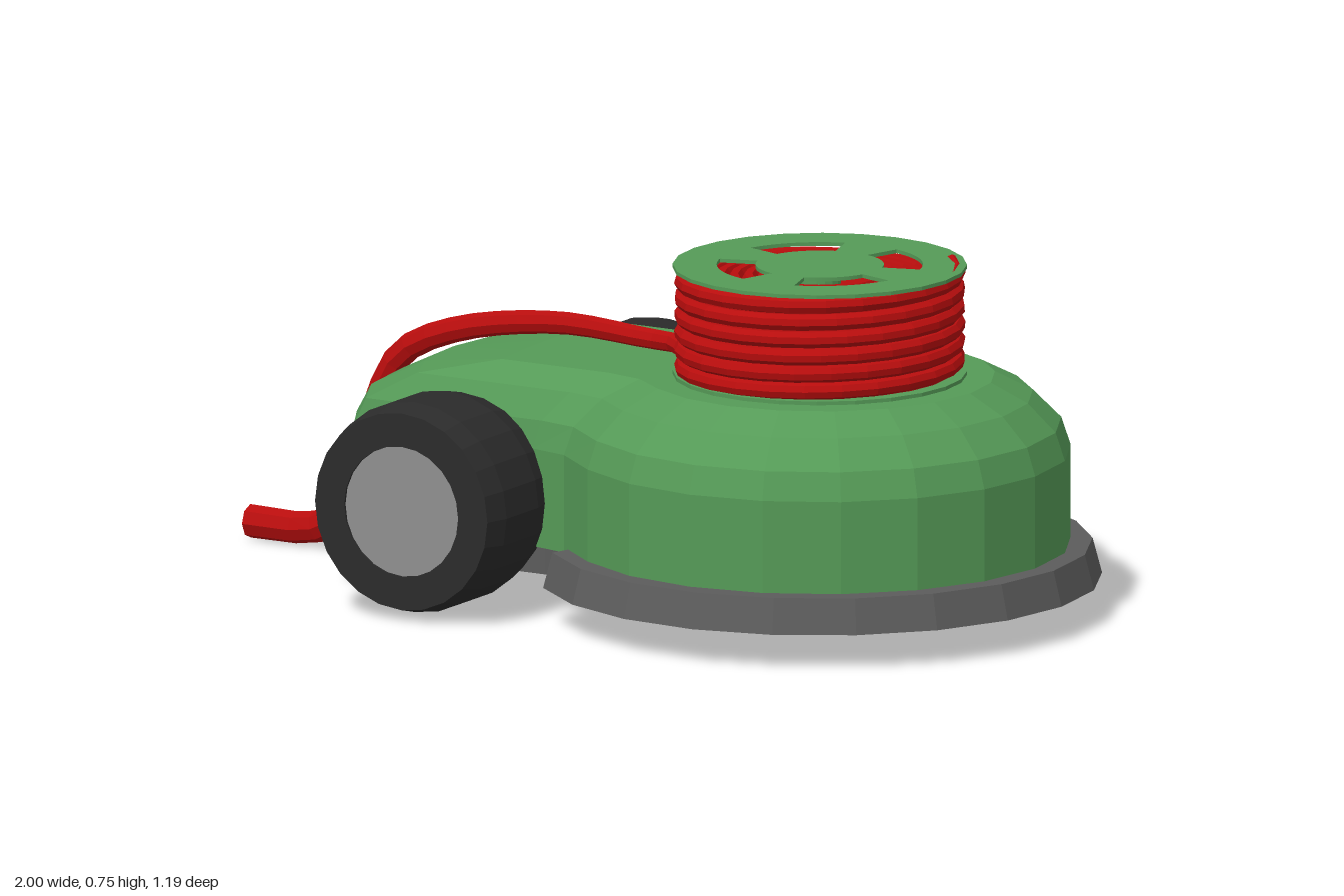
import * as THREE from 'three';

const mat = (color) => new THREE.MeshStandardMaterial({ color, flatShading: true });
const GREEN = mat(0x559a57), RED = mat(0xb80d0d), GREY = mat(0x5c5c5c);
const BLACK = mat(0x2b2b2b), HUB = mat(0x8f8f8f);
const CX = 0.4; // centre of the round front and of the spool

function mesh(name, geometry, material) {
  const m = new THREE.Mesh(geometry, material);
  m.name = name;
  return m;
}

// Mirrors one half (z >= 0, front tip to rear tip) into a closed outline
function mirrored(half) {
  const other = half.slice(1, -1).reverse().map((p) => new THREE.Vector2(p.x, -p.y));
  return [...half, ...other];
}

// Round nose of radius r, swept from the tip to the given angle in degrees
function arc(r, endDeg, steps) {
  return Array.from({ length: steps + 1 }, (_, i) => {
    const a = THREE.MathUtils.degToRad((endDeg * i) / steps);
    return new THREE.Vector2(CX + r * Math.cos(a), r * Math.sin(a));
  });
}

// Keyhole outline of the housing: nose radius r, tail half width w, corner x, rear x
function bodyOutline(r, w, corner, rear) {
  const half = arc(r, 144, 8);
  half[8].y += 0.02; // eases the nose into the tail
  half.push(
    new THREE.Vector2(half[8].x - 0.09, w),
    new THREE.Vector2(corner, w),
    new THREE.Vector2(rear + (corner - rear) * 0.3, w * 0.58),
    new THREE.Vector2(rear, 0));
  return mirrored(half);
}

// Outline of the skirt, notched at the wheels; grow widens it
function skirtOutline(grow) {
  const half = arc(0.57 + grow, 137, 8);
  [[0.0, 0.32], [-0.1, 0.29], [-0.54, 0.29], [-0.59 - grow / 2, 0.315 + grow / 2],
    [-0.65 - grow, 0.19], [-0.685 - grow, 0]].forEach(([x, z]) => half.push(new THREE.Vector2(x, z)));
  return mirrored(half);
}

// Walls between stacked outlines, closed on top
function loft(levels) {
  const pos = [], idx = [], n = levels[0].pts.length;
  levels.forEach(({ y, pts }) => pts.forEach((p) => pos.push(p.x, y, p.y)));
  for (let l = 0; l < levels.length - 1; l++) {
    for (let i = 0; i < n; i++) {
      const a = l * n + i, b = l * n + ((i + 1) % n);
      idx.push(a, a + n, b, b, a + n, b + n);
    }
  }
  const top = (levels.length - 1) * n;
  THREE.ShapeUtils.triangulateShape(levels[levels.length - 1].pts, [])
    .forEach(([a, b, c]) => idx.push(top + a, top + c, top + b));
  const g = new THREE.BufferGeometry();
  g.setAttribute('position', new THREE.Float32BufferAttribute(pos, 3));
  g.setIndex(idx);
  g.computeVertexNormals();
  return g;
}

const lathe = (pts, sides) =>
  new THREE.LatheGeometry(pts.map(([r, y]) => new THREE.Vector2(r, y)), sides);

// Tyre and hub disc facing +z
function createWheel(name) {
  const g = new THREE.Group();
  g.name = name;
  const tyre = lathe([[0, 0.3], [0.212, 0.3], [0.226, 0.36], [0.226, 0.49], [0.212, 0.545],
    [0.14, 0.545], [0.14, 0.535]], 24).rotateX(Math.PI / 2);
  const hub = new THREE.CylinderGeometry(0.14, 0.14, 0.03, 24).rotateX(Math.PI / 2).translate(0, 0, 0.525);
  g.add(mesh('tyre', tyre, BLACK), mesh('wheelHub', hub, HUB));
  return g;
}

// Loose cable, thinning towards the spool
function createCable() {
  const path = new THREE.CatmullRomCurve3([
    [-1, 0.037, 0], [-0.84, 0.042, 0], [-0.765, 0.085, 0], [-0.725, 0.17, 0], [-0.685, 0.34, 0],
    [-0.63, 0.44, 0], [-0.5, 0.505, -0.005], [-0.26, 0.543, -0.025], [-0.04, 0.533, -0.03],
    [0.05, 0.537, 0], [0.115, 0.535, 0.07],
  ].map((p) => new THREE.Vector3(...p)), false, 'centripetal');
  const segs = 26, sides = 8;
  const g = new THREE.TubeGeometry(path, segs, 0.036, sides, false);
  const p = g.attributes.position, v = new THREE.Vector3();
  for (let i = 0; i <= segs; i++) {
    const c = path.getPointAt(i / segs);
    for (let j = 0; j <= sides; j++) {
      const k = i * (sides + 1) + j;
      v.fromBufferAttribute(p, k).sub(c).multiplyScalar(1 - 0.45 * (i / segs)).add(c);
      p.setXYZ(k, v.x, v.y, v.z);
    }
  }
  g.computeVertexNormals();
  const cable = new THREE.Group();
  cable.name = 'cable';
  const end = new THREE.CircleGeometry(0.036, 8).rotateY(-Math.PI / 2).translate(-1, 0.037, 0);
  cable.add(mesh('looseCable', g, RED), mesh('cableEnd', end, RED));
  return cable;
}

// Helix climbing round the spool
class Coil extends THREE.Curve {
  getPoint(t, target = new THREE.Vector3()) {
    const a = 0.2 + t * Math.PI * 2 * 5.6;
    return target.set(-0.289 * Math.cos(a), 0.526 + 0.207 * t, 0.289 * Math.sin(a));
  }
}

function createSpool() {
  const g = new THREE.Group();
  g.name = 'spool';
  g.position.x = CX;

  // Top flange with four curved windows
  const flange = new THREE.Shape().absarc(0, 0, 0.31, 0, Math.PI * 2);
  for (let i = 0; i < 4; i++) {
    const mid = Math.PI / 4 + (i * Math.PI) / 2, h = 0.49;
    const hole = new THREE.Path();
    hole.absarc(0, 0, 0.217, mid - h, mid + h, false);
    hole.absarc(0, 0, 0.135, mid + h, mid - h, true);
    hole.closePath();
    flange.holes.push(hole);
  }
  const top = new THREE.ExtrudeGeometry(flange, { depth: 0.008, bevelEnabled: false, curveSegments: 12 })
    .rotateX(-Math.PI / 2).translate(0, 0.74, 0);
  g.add(mesh('topFlange', top, GREEN));
  g.add(mesh('bottomFlange', new THREE.CylinderGeometry(0.31, 0.31, 0.012, 24).translate(0, 0.513, 0), GREEN));
  g.add(mesh('spoolCore', new THREE.CylinderGeometry(0.045, 0.045, 0.23, 16).translate(0, 0.627, 0), GREEN));

  // Outer winding and the inner layers seen through the windows
  g.add(mesh('woundCable', new THREE.TubeGeometry(new Coil(), 136, 0.0185, 8, false), RED));
  g.add(mesh('innerWinding', new THREE.CylinderGeometry(0.28, 0.28, 0.19, 24).translate(0, 0.613, 0), RED));
  for (let r = 0.12; r < 0.27; r += 0.03) {
    const ring = new THREE.TorusGeometry(r, 0.016, 6, 24).rotateX(Math.PI / 2).translate(0, 0.714, 0);
    g.add(mesh('innerTurn', ring, RED));
  }
  return g;
}

export function createModel() {
  const model = new THREE.Group();
  model.name = 'cableReelMachine';

  // Housing: straight walls, then a rounded shoulder sloping down at the rear
  const body = loft([
    [0.14, 0.53, 0.31, -0.56, -0.66], [0.35, 0.53, 0.31, -0.56, -0.66],
    [0.41, 0.51, 0.30, -0.535, -0.625], [0.47, 0.45, 0.265, -0.43, -0.5],
    [0.511, 0.37, 0.218, -0.25, -0.265],
  ].map(([y, ...dims]) => ({ y, pts: bodyOutline(...dims) })));
  model.add(mesh('housing', body, GREEN));

  // Skirt with its dark underside
  model.add(mesh('skirt', loft([
    { y: 0.077, pts: skirtOutline(0.025) }, { y: 0.152, pts: skirtOutline(0.005) },
  ]), GREY));
  const under = new THREE.ShapeGeometry(new THREE.Shape(skirtOutline(0.025)))
    .rotateX(Math.PI / 2).translate(0, 0.077, 0);
  model.add(mesh('underside', under, BLACK));

  // Pair of wheels
  [['frontWheel', 0], ['backWheel', Math.PI]].forEach(([name, turn]) => {
    const wheel = createWheel(name);
    wheel.position.set(-0.3, 0.237, 0);
    wheel.rotation.y = turn;
    model.add(wheel);
  });

  model.add(createSpool(), createCable());
  return model;
}
